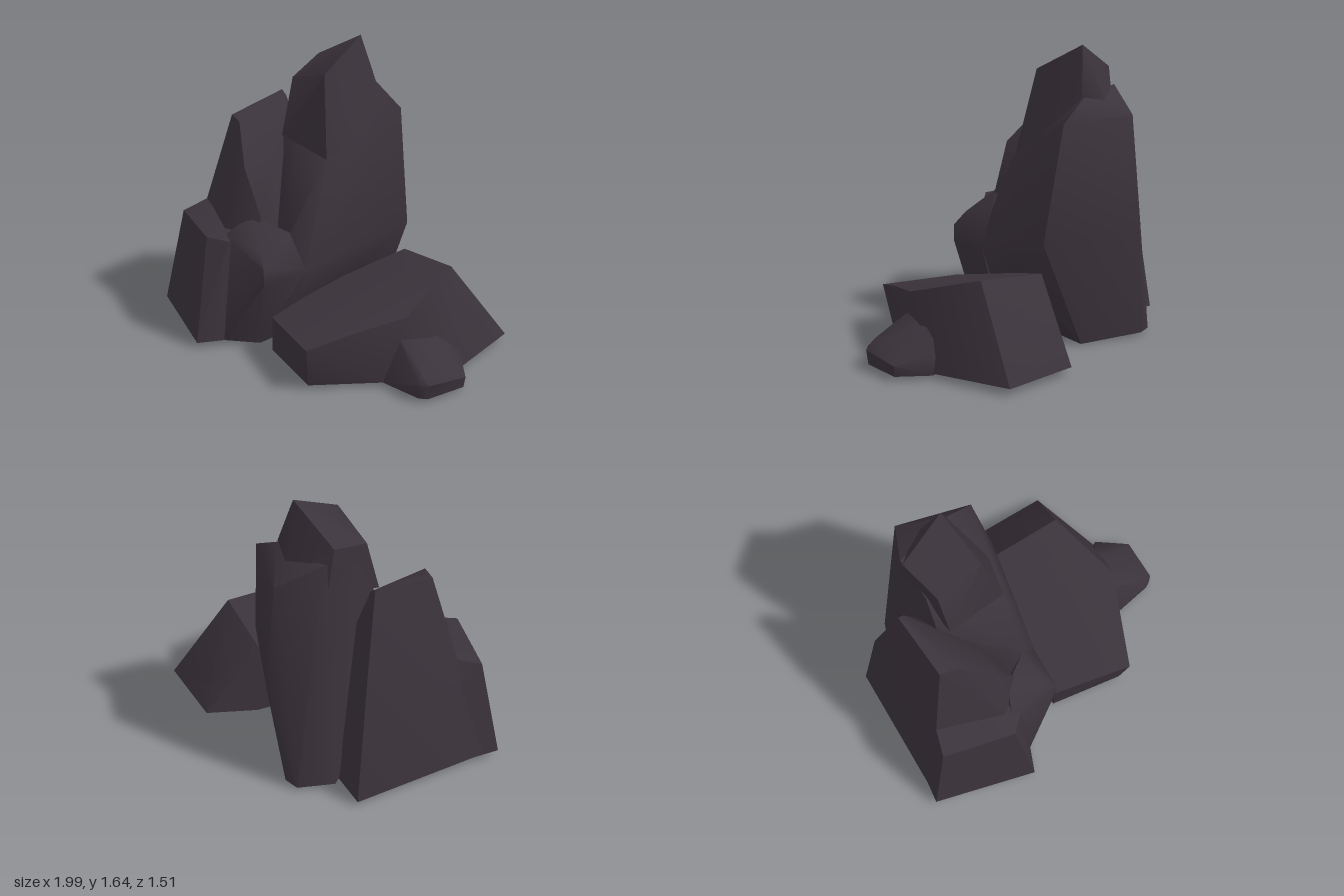
import * as THREE from 'three';
import { toCreasedNormals } from 'three/addons/utils/BufferGeometryUtils.js';
import { ConvexGeometry } from 'three/addons/geometries/ConvexGeometry.js';

const stone = new THREE.MeshStandardMaterial({ color: 0x3b333b });
stone.name = 'darkStone';

// One chiselled boulder, wrapped around its corner points
function boulder(name, corners) {
  const hull = new ConvexGeometry(corners.map((c) => new THREE.Vector3(...c)));
  const mesh = new THREE.Mesh(toCreasedNormals(hull, 0.85), stone);
  mesh.name = name;
  return mesh;
}

export function createModel() {
  const group = new THREE.Group();
  group.name = 'rockFormation';

  group.add(
    // Slanted wedge on top of the tall spire
    boulder('spireCap', [
      [0.11, 1.64, -0.36], [-0.05, 1.48, -0.11], [-0.26, 1.4, -0.29], [-0.15, 1.48, -0.5],
      [0.2, 1.37, -0.36], [0.13, 1.13, -0.12], [-0.02, 1.03, 0], [-0.31, 1.08, -0.22],
      [-0.12, 1.2, -0.53], [0.12, 1.25, -0.52],
    ]),
    // Tall spire, undercut on its right side
    boulder('spire', [
      [0.2, 1.37, -0.37], [0.35, 1.26, -0.27], [0.13, 1.27, -0.63], [-0.1, 1.39, -0.53],
      [-0.24, 1.3, -0.36], [0.14, 1.13, -0.11], [0.35, 1.07, -0.24], [-0.02, 1.03, 0],
      [-0.33, 1.05, -0.28], [0.41, 0.62, -0.17], [0.17, 0.64, -0.68], [-0.2, 0.64, 0.15],
      [-0.36, 0.6, -0.1], [-0.1, 0.45, 0.2], [0.2, 0.45, 0], [0.22, 0, -0.37],
      [0.07, 0.02, -0.7], [-0.01, 0.02, -0.74], [-0.2, 0.02, -0.65], [0, 0, -0.2],
      [-0.3, 0.02, 0.12],
    ]),
    // Left peak leaning against the spire
    boulder('leftPeak', [
      [-0.36, 1.26, -0.48], [-0.33, 1.23, -0.46], [-0.59, 1.19, -0.2], [-0.53, 1.18, -0.12],
      [-0.46, 0.98, 0.08], [-0.34, 1, -0.06], [-0.7, 0.7, -0.22], [-0.36, 0.72, 0.14],
      [-0.56, 0.66, 0.14], [-0.37, 0.8, -0.64], [-0.36, 0.03, -0.76], [-0.94, 0.05, -0.2],
      [-0.58, 0.03, 0.26], [-0.2, 0.02, 0], [-0.15, 0.02, -0.55], [-0.22, 0.9, -0.4],
    ]),
    // Low step on the far left
    boulder('leftStep', [
      [-0.87, 0.62, -0.13], [-0.71, 0.69, -0.22], [-0.5, 0.66, 0.1], [-0.65, 0.62, 0.22],
      [-0.52, 0.6, 0.22], [-1, 0.05, -0.16], [-0.69, 0.03, 0.35], [-0.55, 0.03, 0.29],
      [-0.4, 0.03, 0], [-0.5, 0.03, -0.55],
    ]),
    // Buttress at the foot of the spire
    boulder('frontButtress', [
      [-0.2, 0.65, 0.15], [-0.33, 0.59, 0.31], [-0.3, 0.52, 0.375], [-0.3, 0.42, 0.375],
      [-0.56, 0.62, 0.18], [-0.42, 0.72, 0.12], [-0.55, 0.03, 0.29], [-0.35, 0.02, 0.27],
      [-0.24, 0.02, 0.12], [-0.1, 0.45, 0.2], [-0.4, 0.03, 0],
    ]),
    // Broad tilted slab in front
    boulder('frontSlab', [
      [-0.26, 0.23, 0.36], [0, 0.25, 0.75], [0.2, 0.31, 0.66], [0.5, 0.38, 0.53],
      [0.69, 0.51, 0.14], [0.66, 0.2, -0.27], [0.4, 0.46, -0.16], [0.12, 0.37, 0],
      [-0.12, 0.28, 0.19], [0.99, 0.04, -0.03], [0.67, 0.04, -0.33], [0.4, 0.04, -0.22],
      [0.78, 0.03, 0.38], [-0.26, 0.03, 0.36], [-0.1, 0.03, 0.2], [0, 0.02, 0.7],
      [0.4, 0.02, 0.6],
    ]),
    // Small toe spreading out of the slab
    boulder('slabToe', [
      [0.59, 0.1, 0.75], [0.64, 0.1, 0.75], [0.82, 0.08, 0.58], [0.6, 0.15, 0.71],
      [0.46, 0.26, 0.54], [0.6, 0.27, 0.4], [0.77, 0.12, 0.38], [0.59, 0.02, 0.74],
      [0.64, 0.02, 0.74], [0.81, 0.02, 0.58], [0.78, 0.02, 0.38], [0.38, 0.02, 0.6],
      [0.5, 0.02, 0.3],
    ]),
  );
  return group;
}
